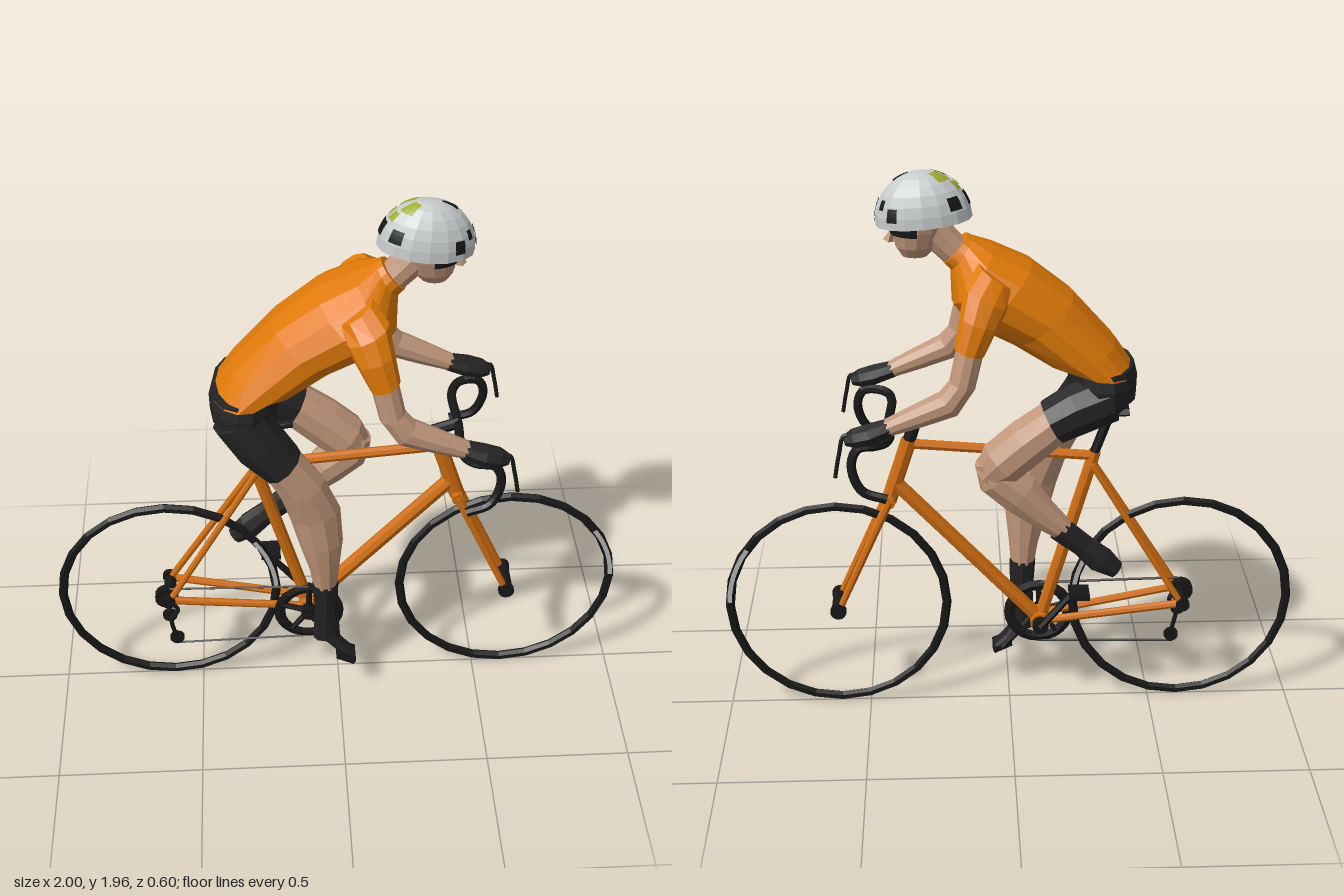
import * as THREE from 'three';

const mat = (name, color, side = THREE.FrontSide) => {
  const m = new THREE.MeshStandardMaterial({ color, side, flatShading: true });
  m.name = name;
  return m;
};
const V = (p) => new THREE.Vector3(...p);
const rad = THREE.MathUtils.degToRad;

export function createModel() {
  const M = {
    orange: mat('jerseyOrange', 0xe07a08),
    frame: mat('frameOrange', 0xcf6d10),
    skin: mat('skin', 0xc1967a),
    cloth: mat('shortsBlack', 0x232323),
    black: mat('partsBlack', 0x171717, THREE.DoubleSide),
    helmet: mat('helmetGrey', 0xc6cacb),
    strip: mat('stripGrey', 0xb8b8b8, THREE.DoubleSide),
    green: mat('helmetGreen', 0x9dab2c, THREE.DoubleSide),
  };
  const model = new THREE.Group();
  model.name = 'cyclist';

  const add = (name, geo, m, pos = [0, 0, 0], parent = model) => {
    const mesh = new THREE.Mesh(geo, m);
    mesh.name = name;
    mesh.position.set(...pos);
    parent.add(mesh);
    return mesh;
  };
  // Straight tube between two points
  const rod = (name, a, b, r0, m, r1 = r0, n = 8) => {
    const d = V(b).sub(V(a));
    const mesh = add(name, new THREE.CylinderGeometry(r1, r0, d.length(), n), m);
    mesh.position.copy(V(a).addScaledVector(d, 0.5));
    mesh.quaternion.setFromUnitVectors(new THREE.Vector3(0, 1, 0), d.normalize());
    return mesh;
  };
  const disc = (name, r, w, pos, m, n = 14) =>
    add(name, new THREE.CylinderGeometry(r, r, w, n).rotateX(Math.PI / 2), m, pos);
  const pipe = (name, pts, r, m, seg = 20) =>
    add(name, new THREE.TubeGeometry(new THREE.CatmullRomCurve3(pts.map(V)), seg, r, 7), m);
  // Body part from elliptical sections [x, y, z, halfDepth, halfWidth, optional heading in degrees]
  const loft = (name, secs, m, n = 10) => {
    const pos = [], idx = [], last = secs.length - 1;
    secs.forEach(([x, y, z, a, b, deg], i) => {
      const p = secs[Math.max(i - 1, 0)], q = secs[Math.min(i + 1, last)];
      const t = deg === undefined ? Math.atan2(q[1] - p[1], q[0] - p[0]) : rad(deg);
      for (let j = 0; j < n; j++) {
        const w = (j / n) * Math.PI * 2, c = Math.cos(w) * a;
        pos.push(x - Math.sin(t) * c, y + Math.cos(t) * c, z + Math.sin(w) * b);
      }
    });
    for (const s of [secs[0], secs[last]]) pos.push(s[0], s[1], s[2]);
    const c0 = secs.length * n;
    for (let j = 0; j < n; j++) {
      const k = (j + 1) % n;
      for (let i = 0; i < last; i++) {
        const a = i * n + j, b = i * n + k;
        idx.push(a, b, a + n, b, b + n, a + n);
      }
      idx.push(c0, k, j, c0 + 1, last * n + j, last * n + k);
    }
    const g = new THREE.BufferGeometry();
    g.setAttribute('position', new THREE.Float32BufferAttribute(pos, 3));
    g.setIndex(idx);
    g.computeVertexNormals();
    return add(name, g, m);
  };

  // Wheels
  for (const [name, x] of [['frontWheel', 0.602], ['rearWheel', -0.602]]) {
    add(name + 'Tyre', new THREE.TorusGeometry(0.381, 0.016, 6, 24), M.black, [x, 0.4, 0]);
    for (const s of [1, -1])
      add(name + 'Strip', new THREE.RingGeometry(0.373, 0.389, 6, 1, 0.05, 0.58), M.strip, [x, 0.4, s * 0.0155]);
    disc(name + 'Hub', 0.022, 0.11, [x, 0.405, 0], M.black);
  }

  // Frame
  rod('headTube', [0.415, 0.8, 0], [0.34, 1.03, 0], 0.027, M.frame);
  rod('topTube', [-0.285, 0.96, 0], [0.345, 1.015, 0], 0.018, M.frame);
  rod('downTube', [-0.107, 0.326, 0], [0.39, 0.87, 0], 0.026, M.frame);
  rod('seatTube', [-0.107, 0.326, 0], [-0.29, 0.975, 0], 0.022, M.frame);
  disc('bottomBracket', 0.035, 0.08, [-0.107, 0.326, 0], M.frame);
  rod('seatPost', [-0.285, 0.96, 0], [-0.345, 1.13, 0], 0.017, M.black);
  loft('saddle', [[-0.4, 1.135, 0, 0.018, 0.06], [-0.31, 1.13, 0, 0.02, 0.055], [-0.15, 1.13, 0, 0.014, 0.018]], M.black, 8);
  rod('forkCrown', [0.413, 0.81, -0.045], [0.413, 0.81, 0.045], 0.022, M.frame);
  for (const s of [1, -1]) {
    rod('forkBlade', [0.413, 0.815, s * 0.035], [0.597, 0.405, s * 0.058], 0.017, M.frame, 0.012);
    rod('seatStay', [-0.28, 0.935, s * 0.02], [-0.6, 0.41, s * 0.062], 0.012, M.frame);
    rod('chainStay', [-0.13, 0.335, s * 0.03], [-0.6, 0.41, s * 0.062], 0.014, M.frame);
    disc('frontAxleCap', 0.028, 0.02, [0.6, 0.405, s * 0.065], M.black);
    disc('rearAxleCap', 0.024, 0.02, [-0.605, 0.41, s * 0.07], M.black);
  }

  // Drivetrain on the +z side
  const Z = 0.05, bb = [-0.107, 0.326];
  add('chainring', new THREE.TorusGeometry(0.105, 0.02, 4, 24).scale(1, 1, 0.4), M.black, [...bb, Z]);
  for (let i = 0; i < 5; i++) {
    const a = (i / 5) * Math.PI * 2 + 0.3;
    rod('chainringArm', [...bb, Z], [bb[0] + 0.1 * Math.cos(a), bb[1] + 0.1 * Math.sin(a), Z], 0.012, M.black, 0.01, 5);
  }
  disc('crankAxle', 0.028, 0.14, [...bb, 0], M.black);
  disc('cassette', 0.042, 0.03, [-0.612, 0.41, 0.04], M.black);
  disc('upperPulley', 0.026, 0.014, [-0.605, 0.33, Z], M.black, 10);
  disc('lowerPulley', 0.026, 0.014, [-0.585, 0.22, Z], M.black, 10);
  pipe('derailleurCage', [[-0.6, 0.4, 0.06], [-0.575, 0.36, 0.06], [-0.6, 0.32, 0.06], [-0.585, 0.22, 0.06]], 0.008, M.black);
  rod('upperChain', [-0.6, 0.452, Z], [-0.107, 0.442, Z], 0.005, M.black, 0.005, 4);
  rod('lowerChain', [-0.59, 0.193, Z], [-0.107, 0.205, Z], 0.005, M.black, 0.005, 4);
  for (const s of [1, -1]) {
    const end = [bb[0] + s * 0.13, bb[1] - s * 0.158];
    rod('crankArm', [...bb, s * 0.065], [...end, s * 0.068], 0.014, M.black, 0.011, 6);
    const pedal = add('pedal', new THREE.BoxGeometry(0.07, 0.018, 0.085), M.black, [...end, s * 0.105]);
    pedal.rotation.z = s > 0 ? -0.45 : 0;
  }

  // Handlebar
  rod('steererSpacer', [0.34, 1.025, 0], [0.322, 1.085, 0], 0.022, M.black);
  rod('stem', [0.32, 1.08, 0], [0.41, 1.11, 0], 0.02, M.black);
  for (const s of [1, -1]) {
    pipe('dropBar', [[0.405, 1.11, 0], [0.405, 1.11, s * 0.19], [0.44, 1.115, s * 0.235], [0.5, 1.11, s * 0.245],
      [0.522, 1.05, s * 0.25], [0.49, 0.965, s * 0.26], [0.41, 0.937, s * 0.268]], 0.016, M.black, 30);
    pipe('brakeLever', [[0.49, 1.14, s * 0.25], [0.54, 1.165, s * 0.26], [0.56, 1.1, s * 0.265], [0.575, 1.02, s * 0.268]], 0.007, M.black);
  }

  // Torso and hips
  loft('jersey', [[-0.305, 1.295, 0, 0.115, 0.175, 95], [-0.24, 1.35, 0, 0.117, 0.178, 70], [-0.105, 1.47, 0, 0.132, 0.182, 53],
    [0.035, 1.56, 0, 0.145, 0.2, 48], [0.12, 1.622, 0, 0.115, 0.175, 37], [0.155, 1.69, 0, 0.065, 0.075, 35],
    [0.175, 1.705, 0, 0.062, 0.065, 40]], M.orange, 14);
  loft('shortsHips', [[-0.3, 1.13, 0, 0.07, 0.11, 90], [-0.312, 1.2, 0, 0.112, 0.175, 90],
    [-0.31, 1.26, 0, 0.116, 0.18, 90], [-0.305, 1.312, 0, 0.108, 0.168, 90]], M.cloth, 14);

  // Arms
  for (const s of [1, -1]) {
    loft('sleeve', [[0.045, 1.65, s * 0.12, 0.07, 0.07], [0.08, 1.6, s * 0.185, 0.078, 0.06], [0.105, 1.53, s * 0.22, 0.064, 0.052],
      [0.137, 1.435, s * 0.235, 0.05, 0.047]], M.orange);
    loft('arm', [[0.13, 1.46, s * 0.235, 0.045, 0.042], [0.16, 1.33, s * 0.248, 0.044, 0.046], [0.205, 1.268, s * 0.254, 0.05, 0.046],
      [0.3, 1.228, s * 0.253, 0.041, 0.04], [0.42, 1.178, s * 0.25, 0.028, 0.03]], M.skin);
    loft('glove', [[0.395, 1.187, s * 0.25, 0.031, 0.033], [0.46, 1.165, s * 0.255, 0.036, 0.042],
      [0.51, 1.152, s * 0.255, 0.034, 0.036], [0.54, 1.145, s * 0.255, 0.018, 0.022]], M.cloth, 8);
  }

  // Extended leg on the +z side
  loft('extendedShortsLeg', [[-0.33, 1.24, 0.09, 0.1, 0.09], [-0.265, 1.135, 0.108, 0.093, 0.088], [-0.188, 1.043, 0.113, 0.077, 0.082]], M.cloth);
  loft('extendedLeg', [[-0.2, 1.06, 0.113, 0.072, 0.076], [-0.125, 0.94, 0.113, 0.083, 0.074], [-0.083, 0.83, 0.112, 0.088, 0.064],
    [-0.063, 0.7, 0.112, 0.075, 0.06], [-0.053, 0.58, 0.108, 0.052, 0.05], [-0.05, 0.5, 0.105, 0.042, 0.042]], M.skin);
  loft('extendedSock', [[-0.05, 0.51, 0.105, 0.046, 0.044], [-0.046, 0.38, 0.1, 0.041, 0.038], [-0.045, 0.24, 0.097, 0.048, 0.028]], M.cloth, 8);
  loft('extendedShoe', [[-0.05, 0.27, 0.097, 0.03, 0.028], [0.0, 0.205, 0.098, 0.02, 0.034], [0.045, 0.165, 0.1, 0.012, 0.03]], M.cloth, 8);

  // Bent leg on the -z side
  loft('bentShortsLeg', [[-0.33, 1.22, -0.09, 0.09, 0.09], [-0.22, 1.18, -0.105, 0.09, 0.088], [-0.135, 1.135, -0.11, 0.08, 0.08]], M.cloth);
  loft('bentThigh', [[-0.15, 1.14, -0.11, 0.076, 0.076], [-0.05, 1.06, -0.108, 0.085, 0.078], [0.03, 0.99, -0.106, 0.084, 0.08],
    [0.085, 0.935, -0.104, 0.048, 0.055]], M.skin);
  loft('bentCalf', [[0.09, 1.0, -0.104, 0.035, 0.05], [0.05, 0.935, -0.104, 0.07, 0.066], [-0.03, 0.87, -0.105, 0.074, 0.062],
    [-0.1, 0.8, -0.105, 0.058, 0.05], [-0.18, 0.73, -0.102, 0.04, 0.04]], M.skin);
  loft('bentSock', [[-0.165, 0.735, -0.102, 0.046, 0.044], [-0.25, 0.665, -0.1, 0.042, 0.038], [-0.31, 0.61, -0.1, 0.05, 0.042],
    [-0.365, 0.568, -0.098, 0.032, 0.03]], M.cloth, 8);

  // Head
  loft('neck', [[0.15, 1.67, 0, 0.052, 0.052], [0.21, 1.73, 0, 0.054, 0.052], [0.27, 1.8, 0, 0.055, 0.055]], M.skin);
  loft('face', [[0.305, 1.682, 0, 0.042, 0.035, 90], [0.3, 1.715, 0, 0.068, 0.058, 90], [0.293, 1.77, 0, 0.085, 0.074, 90],
    [0.285, 1.83, 0, 0.1, 0.082, 90]], M.skin, 12);
  const nose = add('nose', new THREE.ConeGeometry(0.018, 0.05, 4), M.skin, [0.382, 1.755, 0]);
  nose.rotation.z = 0.3;
  add('glasses', new THREE.CylinderGeometry(0.092, 0.088, 0.036, 14, 1, true, 0, Math.PI).scale(1, 1, 0.88), M.black, [0.296, 1.778, 0]);

  // Helmet, with thin vents and colour patches following its shell
  const helmet = new THREE.Group();
  helmet.name = 'helmet';
  helmet.position.set(0.274, 1.803, 0);
  helmet.rotation.z = -0.09;
  model.add(helmet);
  const shell = (phi, dPhi, theta, dTheta, k, a, b) =>
    new THREE.SphereGeometry(1, a, b, rad(phi), rad(dPhi), rad(theta), rad(dTheta)).scale(0.156 * k, 0.158 * k, 0.108 * k);
  add('helmetShell', shell(0, 360, 0, 92, 1, 16, 7), M.helmet, undefined, helmet);
  add('helmetLining', new THREE.CircleGeometry(1, 16).rotateX(Math.PI / 2).scale(0.154, 1, 0.106), M.black, undefined, helmet);
  const patch = (name, m, phi, dPhi, theta, dTheta) =>
    add(name, shell(phi, dPhi, theta, dTheta, 1.015, 3, 3), m, undefined, helmet);
  patch('frontVent', M.black, 173, 14, 58, 28);
  patch('topVent', M.black, 168, 24, 12, 20);
  patch('rearVent', M.black, -14, 28, 58, 18);
  for (const s of [1, -1]) {
    const pair = (name, m, phi, dPhi, theta, dTheta) => patch(name, m, s > 0 ? phi : -phi - dPhi, dPhi, theta, dTheta);
    pair('browVent', M.black, 146, 10, 58, 12);
    pair('templeVent', M.black, 122, 15, 67, 16);
    pair('sideRearVent', M.black, 34, 20, 60, 16);
    pair('greenPatch', M.green, 12, 38, 18, 20);
    pair('greenRearPatch', M.green, 5, 18, 42, 12);
  }
  return model;
}
